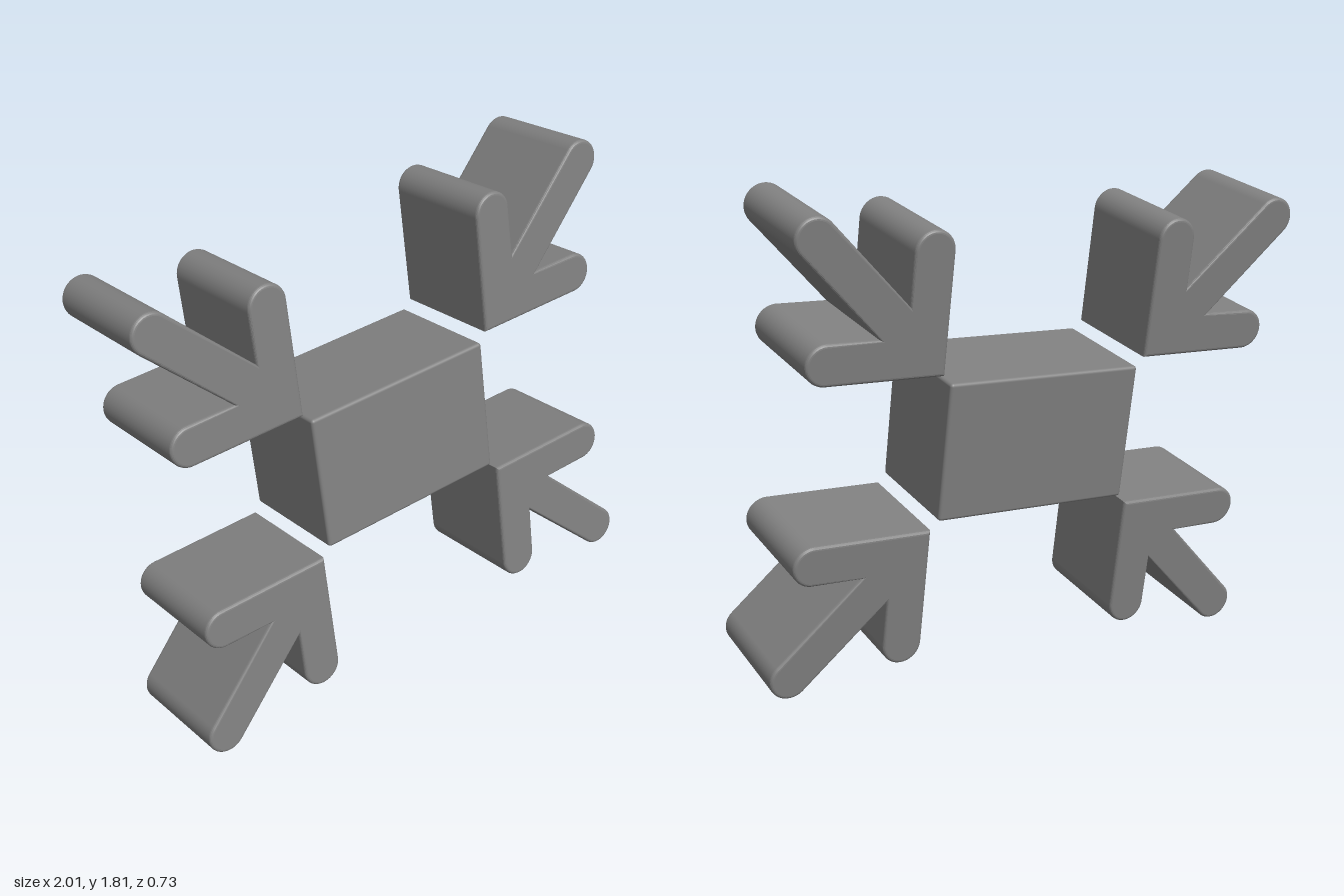
import * as THREE from 'three';
import { RoundedBoxGeometry } from 'three/addons/geometries/RoundedBoxGeometry.js';

const DEPTH = 0.435;  // thickness shared by block and arrows
const BEVEL = 0.012;  // softened edges

// Arrow with its sharp tip at the origin and three round-ended arms in the +x +y quadrant
function arrowGeometry() {
  const r = 0.0725;                        // arm half width
  const end = 0.427;                       // centre of the straight arms' round ends
  const diag = 0.486;                      // centre of the diagonal arm's round end
  const notch = 2 * r + r * Math.SQRT2;    // where diagonal and straight arms meet
  const q = Math.PI / 4;

  const s = new THREE.Shape();
  s.moveTo(0, 0);
  s.lineTo(end, 0);
  s.absarc(end, r, r, -2 * q, 2 * q, false);
  s.lineTo(notch, 2 * r);
  s.absarc(diag, diag, r, -q, 3 * q, false);
  s.lineTo(2 * r, notch);
  s.absarc(r, end, r, 0, 4 * q, false);
  s.closePath();

  // Fine arcs keep the round ends smooth while the long sides stay truly flat
  const geo = new THREE.ExtrudeGeometry(s, {
    depth: DEPTH - 2 * BEVEL, curveSegments: 32,
    bevelThickness: BEVEL, bevelSize: BEVEL, bevelOffset: -BEVEL, bevelSegments: 4,
  });
  geo.translate(0, 0, BEVEL - DEPTH / 2);
  return geo;
}

export function createModel() {
  const model = new THREE.Group();
  model.name = 'blockWithCornerArrows';
  const material = new THREE.MeshStandardMaterial({ color: 0x808080 });

  // Central block
  const block = new THREE.Mesh(new RoundedBoxGeometry(0.74, 0.5, DEPTH, 3, BEVEL), material);
  block.name = 'centerBlock';
  model.add(block);

  // Four arrows pointing at the block's corners, each a quarter turn from the last
  const geo = arrowGeometry();
  const corners = [
    ['upperLeftArrow', 1, 1], ['upperRightArrow', -1, 1],
    ['lowerRightArrow', -1, -1], ['lowerLeftArrow', 1, -1],
  ];
  corners.forEach(([name, sx, sy], i) => {
    const arrow = new THREE.Mesh(geo, material);
    arrow.name = name;
    arrow.position.set(sx * 0.396, sy * 0.28, 0);
    arrow.rotation.z = i * Math.PI / 2;
    model.add(arrow);
  });

  // Slight overall tilt
  model.rotation.set(-0.102, -0.075, 0.049);
  model.position.y = 0.899;

  const root = new THREE.Group();
  root.name = 'model';
  root.add(model);
  return root;
}
